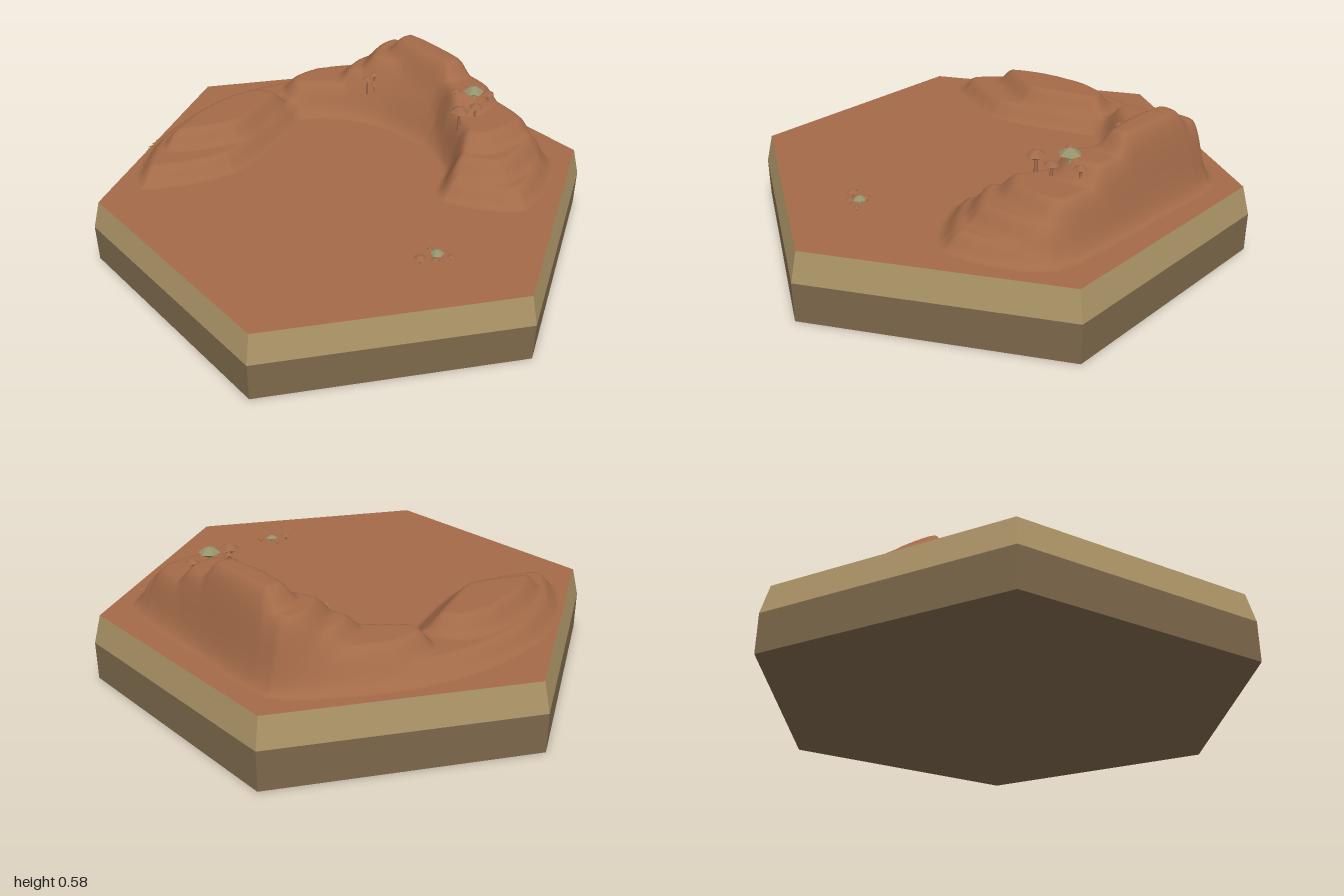
import * as THREE from 'three';

const TOP = 0.27;

// Nested terrace outlines [x, z]; each one lifts the ground inside it by `rise`.
const TERRACES = [
  { rise: 0.062, pts: [[.2, .37], [.37, .595], [.68, .45], [.715, 0], [.715, -.4], [.55, -.55], [.35, -.67], [.08, -.75], [-.2, -.75],
    [-.45, -.66], [-.63, -.47], [-.32, -.34], [0, -.43], [.15, -.49], [.3, -.37], [.39, -.2], [.42, .05], [.34, .27]] },
  { rise: 0.066, pts: [[-.46, -.55], [-.3, -.64], [-.1, -.67], [.04, -.64], [.09, -.54], [-.04, -.48], [-.22, -.43]] },
  { rise: 0.066, pts: [[.27, .33], [.38, .49], [.66, .42], [.7, 0], [.7, -.4], [.5, -.54], [.35, -.62], [.21, -.62], [.18, -.53],
    [.33, -.38], [.42, -.2], [.45, .05], [.39, .25]] },
  { rise: 0.057, pts: [[.35, .27], [.43, .38], [.65, .36], [.69, 0], [.69, -.4], [.5, -.48], [.37, -.42], [.45, -.2], [.48, .05]] },
  { rise: 0.063, pts: [[.45, .12], [.52, .2], [.65, .17], [.675, 0], [.675, -.4], [.56, -.43], [.44, -.35], [.49, -.2], [.51, 0]] },
  { rise: 0.067, pts: [[.55, .01], [.65, .01], [.66, -.3], [.55, -.31], [.53, -.15]] },
].map(({ rise, pts }) => ({
  rise,
  // Rounded outline
  pts: new THREE.CatmullRomCurve3(pts.map(([x, z]) => new THREE.Vector3(x, 0, z)), true, 'catmullrom', 0.35)
    .getPoints(pts.length * 4).slice(0, -1),
}));

// Signed distance to an outline, positive inside
function insideDistance(pts, x, z) {
  let best = Infinity, inside = false;
  for (let i = 0, j = pts.length - 1; i < pts.length; j = i++) {
    const a = pts[j], b = pts[i];
    const ex = b.x - a.x, ez = b.z - a.z;
    const t = THREE.MathUtils.clamp(((x - a.x) * ex + (z - a.z) * ez) / (ex * ex + ez * ez), 0, 1);
    best = Math.min(best, Math.hypot(x - a.x - ex * t, z - a.z - ez * t));
    if ((a.z > z) !== (b.z > z) && x < a.x + ex * (z - a.z) / ez) inside = !inside;
  }
  return inside ? best : -best;
}

function ridgeHeight(x, z) {
  let h = 0;
  for (const { rise, pts } of TERRACES) {
    h += rise * THREE.MathUtils.smoothstep(insideDistance(pts, x, z), -0.037, 0.037);
  }
  return h;
}

// Smooth height field, keeping only the cells that rise above the ground
function ridgeGeometry() {
  const x0 = -0.72, z0 = -0.84, step = 0.0125, nx = 120, nz = 122;
  const pos = [], index = [];
  for (let j = 0; j <= nz; j++) {
    for (let i = 0; i <= nx; i++) {
      const x = x0 + i * step, z = z0 + j * step;
      pos.push(x, TOP + ridgeHeight(x, z), z);
    }
  }
  const raised = (k) => pos[k * 3 + 1] > TOP + 1e-5;
  for (let j = 0; j < nz; j++) {
    for (let i = 0; i < nx; i++) {
      const a = j * (nx + 1) + i, b = a + 1, c = a + nx + 1, d = c + 1;
      if ([a, b, c, d].some(raised)) index.push(a, c, b, b, c, d);
    }
  }
  const geo = new THREE.BufferGeometry();
  geo.setAttribute('position', new THREE.Float32BufferAttribute(pos, 3));
  geo.setIndex(index);
  geo.computeVertexNormals();
  return geo;
}

function faceted(geo) {
  const flat = geo.toNonIndexed();
  flat.computeVertexNormals();
  return flat;
}

export function createModel() {
  const mat = (name, color) => {
    const m = new THREE.MeshStandardMaterial({ color });
    m.name = name;
    return m;
  };
  const clay = mat('clay', 0xa36a48);
  const sand = mat('sand', 0xaa9366);
  const earth = mat('earth', 0x7c684a);
  const rust = mat('rust', 0xa0694a);
  const sage = mat('sage', 0x96926c);

  const model = new THREE.Group();
  model.name = 'hexTerrainTile';
  const add = (parent, name, geo, material, x = 0, y = 0, z = 0) => {
    const mesh = new THREE.Mesh(geo, material);
    mesh.name = name;
    mesh.position.set(x, y, z);
    parent.add(mesh);
    return mesh;
  };

  // Six-sided base with a bevelled upper band and a clay top
  add(model, 'base', faceted(new THREE.CylinderGeometry(1, 1, 0.155, 6)), earth, 0, 0.0775, 0);
  add(model, 'bevelAndGround', faceted(new THREE.CylinderGeometry(0.97, 1, TOP - 0.155, 6)),
    [sand, clay, earth], 0, (TOP + 0.155) / 2, 0);

  // Crescent ridge
  add(model, 'ridge', ridgeGeometry(), clay);

  // Faceted mushrooms: pointed cap, shallow underside, thin stem
  const cap = faceted(new THREE.LatheGeometry(
    [[0, -0.6], [1, 0], [0.55, 0.4], [0, 0.65]].map(([x, y]) => new THREE.Vector2(x, y)), 6));
  const stem = faceted(new THREE.CylinderGeometry(0.7, 1, 1, 5));
  const clusters = {
    ridgeMushrooms: [[.41, .505, .22, .04, rust], [.53, .525, .18, .042, sage], [.49, .497, .23, .03, rust],
      [.595, .507, .2, .027, rust], [.485, .515, .125, .02, rust]],
    groundMushrooms: [[-.165, .29, .59, .024, rust], [-.1, .292, .61, .026, sage], [-.13, .285, .63, .018, rust],
      [-.07, .283, .65, .015, rust], [-.1, .285, .575, .014, rust]],
    slopeMushrooms: [[.385, .445, -.3, .022, rust], [.42, .455, -.295, .026, rust], [.405, .42, -.275, .018, rust]],
  };
  for (const [name, list] of Object.entries(clusters)) {
    const cluster = new THREE.Group();
    cluster.name = name;
    model.add(cluster);
    list.forEach(([x, y, z, r, material], i) => {
      const ground = TOP + ridgeHeight(x, z) - 0.01;
      const capY = Math.max(y, ground + 0.01 + r * 0.6);
      const c = add(cluster, 'cap', cap, material, x, capY, z);
      c.scale.set(r, r * 0.85, r);
      c.rotation.y = i * 0.8;
      add(cluster, 'stem', stem, material, x, (ground + capY) / 2, z)
        .scale.set(r * 0.22, capY - ground, r * 0.22);
    });
  }
  return model;
}
